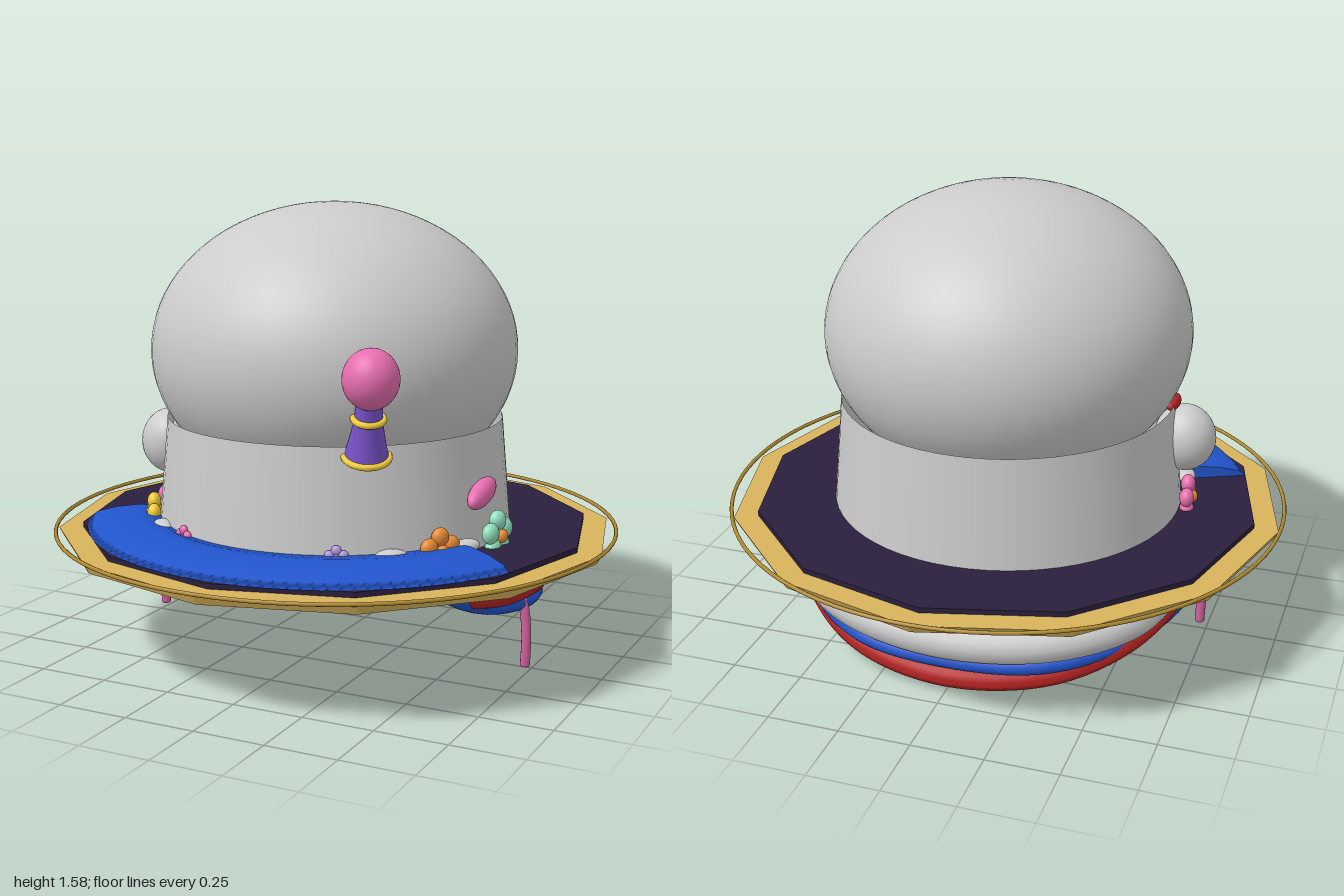
import * as THREE from 'three';

const mat = (color) => new THREE.MeshStandardMaterial({ color, side: THREE.DoubleSide });
const GREY = mat(0xcccccc), GOLD = mat(0xd9b35c), RING = mat(0xb08a30), DARK = mat(0x2a1f3d),
  BLUE = mat(0x2255cc), RED = mat(0xb82424), PINK = mat(0xe86fb0), STRAP = mat(0xd0609c),
  PURPLE = mat(0x7b55cc), YELLOW = mat(0xf0cc3a), ORANGE = mat(0xe88a35), MINT = mat(0x8fe0bd), LILAC = mat(0xb49ae0);
const V = (p) => new THREE.Vector3(...p);

export function createModel() {
  const model = new THREE.Group();

  function add(name, geometry, material, position = [0, 0, 0], parent = model) {
    const mesh = new THREE.Mesh(geometry, material);
    mesh.name = name;
    mesh.position.set(...position);
    parent.add(mesh);
    return mesh;
  }

  function ball(name, material, position, scale, parent = model) {
    const mesh = add(name, new THREE.SphereGeometry(1, 32, 20), material, position, parent);
    mesh.scale.set(...scale);
    return mesh;
  }

  // Tube through points whose ends close over a given share of its length
  function roll(name, points, radius, material, startCap = 0.03, endCap = startCap) {
    const path = new THREE.CatmullRomCurve3(points.map(V));
    const n = 64, sides = 14;
    const geometry = new THREE.TubeGeometry(path, n, radius, sides);
    const pos = geometry.attributes.position, v = new THREE.Vector3();
    for (let i = 0; i <= n; i++) {
      const t = i / n, centre = path.getPointAt(t);
      const edge = Math.min(1, t / startCap, (1 - t) / endCap);
      const k = Math.sqrt(1 - (1 - edge) ** 2);
      for (let j = 0; j <= sides; j++) {
        const id = i * (sides + 1) + j;
        v.fromBufferAttribute(pos, id).lerpVectors(centre, v, k);
        pos.setXYZ(id, v.x, v.y, v.z);
      }
    }
    geometry.computeVertexNormals();
    return add(name, geometry, material);
  }

  // Half of a path given from the left side to the back, completed by mirroring
  const mirrored = (half) => [...half, ...half.slice(0, -1).reverse().map(([x, y, z]) => [-x, y, z])];

  // Crown and its band
  const crown = ball('crown', GREY, [0, 1.07, 0.01], [0.64, 0.51, 0.64]);
  crown.geometry = new THREE.SphereGeometry(1, 64, 40);
  add('crownBand', new THREE.CylinderGeometry(0.59, 0.625, 0.4, 64, 1, true), GREY, [0, 0.64, 0.007]);

  // Twelve-sided brim with a dark upper face and a thin hoop
  const facet = (m) => { const c = m.clone(); c.flatShading = true; return c; };
  add('brim', new THREE.CylinderGeometry(0.985, 0.97, 0.03, 12), facet(GOLD), [0, 0.42, 0]);
  add('brimTop', new THREE.CylinderGeometry(0.9, 0.9, 0.02, 12), facet(DARK), [0, 0.443, 0]);
  const hoop = add('brimHoop', new THREE.TorusGeometry(0.992, 0.007, 8, 96), RING, [0, 0.444, 0]);
  hoop.rotation.x = Math.PI / 2;

  // Blue visor over the front of the brim
  const visor = [[0.62, 0.45], [0.62, 0.49], [0.7, 0.5], [0.79, 0.49], [0.86, 0.472], [0.88, 0.452], [0.62, 0.45]]
    .map(([r, y]) => new THREE.Vector2(r, y));
  add('visor', new THREE.LatheGeometry(visor, 48, -1.13, 2.26), BLUE);
  for (const s of [-1, 1]) {
    const end = add('visorEnd', new THREE.ShapeGeometry(new THREE.Shape(visor)), BLUE);
    end.rotation.y = s * 1.13 - Math.PI / 2;
  }

  // Horn with two gold rings and a pink ball
  const horn = new THREE.Group();
  horn.name = 'horn';
  horn.position.set(0.345, 0.8, 0.48);
  horn.quaternion.setFromUnitVectors(new THREE.Vector3(0, 1, 0), V([0.05, 0.27, 0.075]).normalize());
  model.add(horn);
  const hornProfile = [[0.075, 0], [0.06, 0.06], [0.047, 0.13], [0.042, 0.2]].map(([r, y]) => new THREE.Vector2(r, y));
  add('hornCone', new THREE.LatheGeometry(hornProfile, 28), PURPLE, [0, 0, 0], horn);
  for (const [r, y] of [[0.073, 0.008], [0.048, 0.145]]) {
    add('hornRing', new THREE.TorusGeometry(r, 0.011, 10, 32), YELLOW, [0, y, 0], horn).rotation.x = Math.PI / 2;
  }
  ball('hornBall', PINK, [0, 0.285, 0], [0.092, 0.1, 0.092], horn);

  // Ornaments on the sides of the band
  ball('sideKnob', GREY, [-0.62, 0.7, 0.105], [0.11, 0.12, 0.105]);
  ball('redTab', RED, [-0.575, 0.83, 0.1], [0.025, 0.025, 0.06]);
  ball('sideOval', PINK, [0.61, 0.64, 0.14], [0.035, 0.042, 0.1]).rotation.x = 0.2;

  // Flowers around the foot of the band, facing outward
  function flower(name, material, core, [x, y, z], size) {
    const group = new THREE.Group();
    group.name = name;
    group.position.set(x, y, z);
    group.rotation.y = Math.atan2(x, z);
    model.add(group);
    for (let i = 0; i < 5; i++) {
      const a = Math.PI / 2 + i * Math.PI * 0.4;
      ball('petal', material, [Math.cos(a) * size * 0.6, Math.sin(a) * size * 0.6, 0],
        [size * 0.42, size * 0.42, size * 0.32], group);
    }
    ball('flowerCentre', core, [0, 0, size * 0.2], [size * 0.28, size * 0.28, size * 0.25], group);
  }
  flower('mintFlower', MINT, ORANGE, [0.645, 0.485, 0.08], 0.085);
  flower('orangeFlower', ORANGE, ORANGE, [0.545, 0.485, 0.34], 0.075);
  flower('yellowFlower', YELLOW, YELLOW, [-0.55, 0.485, 0.34], 0.075);
  flower('pinkFlower', PINK, ORANGE, [-0.645, 0.485, 0.08], 0.08);
  flower('smallPinkFlower', PINK, PINK, [-0.29, 0.485, 0.565], 0.04);
  flower('smallLilacFlower', LILAC, LILAC, [0.28, 0.485, 0.565], 0.04);
  for (const s of [-1, 1]) {
    for (const [x, z] of [[0.6, 0.25], [0.43, 0.47]]) {
      ball('leaf', GREY, [s * x, 0.485, z], [0.055, 0.022, 0.035]).rotation.y = s * Math.atan2(x, z);
    }
  }

  // Padded rolls hanging below the brim in a horseshoe around the back
  roll('backRoll', mirrored([[0.66, 0.31, -0.27], [0.57, 0.26, -0.45], [0.35, 0.22, -0.6], [0, 0.2, -0.66]]), 0.066, GREY);
  for (const s of [-1, 1]) {
    roll('sideRoll', [[0.48, 0.395, 0.5], [0.61, 0.375, 0.3], [0.68, 0.345, 0], [0.67, 0.325, -0.28]]
      .map(([x, y, z]) => [s * x, y, z]), 0.058, GREY, 0.5, 0.05);
  }
  roll('redRoll', mirrored([[0.63, 0.34, 0.34], [0.68, 0.285, 0.08], [0.67, 0.25, -0.22],
    [0.55, 0.16, -0.43], [0.33, 0.085, -0.58], [0, 0.06, -0.65]]), 0.045, RED);
  roll('blueRoll', mirrored([[0.52, 0.4, 0.45], [0.64, 0.29, 0.26], [0.7, 0.235, 0], [0.67, 0.21, -0.25],
    [0.52, 0.16, -0.48], [0.3, 0.135, -0.63], [0, 0.128, -0.67]]), 0.028, BLUE, 0.05);
  roll('upperRedRoll', mirrored([[0.64, 0.36, -0.28], [0.5, 0.345, -0.44], [0.3, 0.33, -0.55], [0, 0.325, -0.59]]), 0.07, RED);

  // Cords tying the rolls to the brim
  for (const x of [-0.52, -0.28, 0, 0.28, 0.52]) {
    const z = -Math.sqrt(0.45 - x * x);
    roll('tieCord', [[x, 0.41, z + 0.03], [x * 1.02, 0.33, z], [x * 1.04, 0.25, z + 0.02]], 0.01, RED);
  }
  roll('redStrap', [[-0.6, 0.41, 0.37], [-0.63, 0.35, 0.365], [-0.66, 0.275, 0.36]], 0.022, RED, 0.1);

  // Pink straps dangling at both sides
  for (const [s, drop] of [[1, 0], [-1, 0.025]]) {
    roll('danglingStrap', [[0.69, 0.28, 0], [0.715, 0.23, 0], [0.728, 0.13, 0], [0.726, 0.005, 0]]
      .map(([x, y, z]) => [s * x, y + drop, z]), 0.017, STRAP);
  }
  return model;
}
